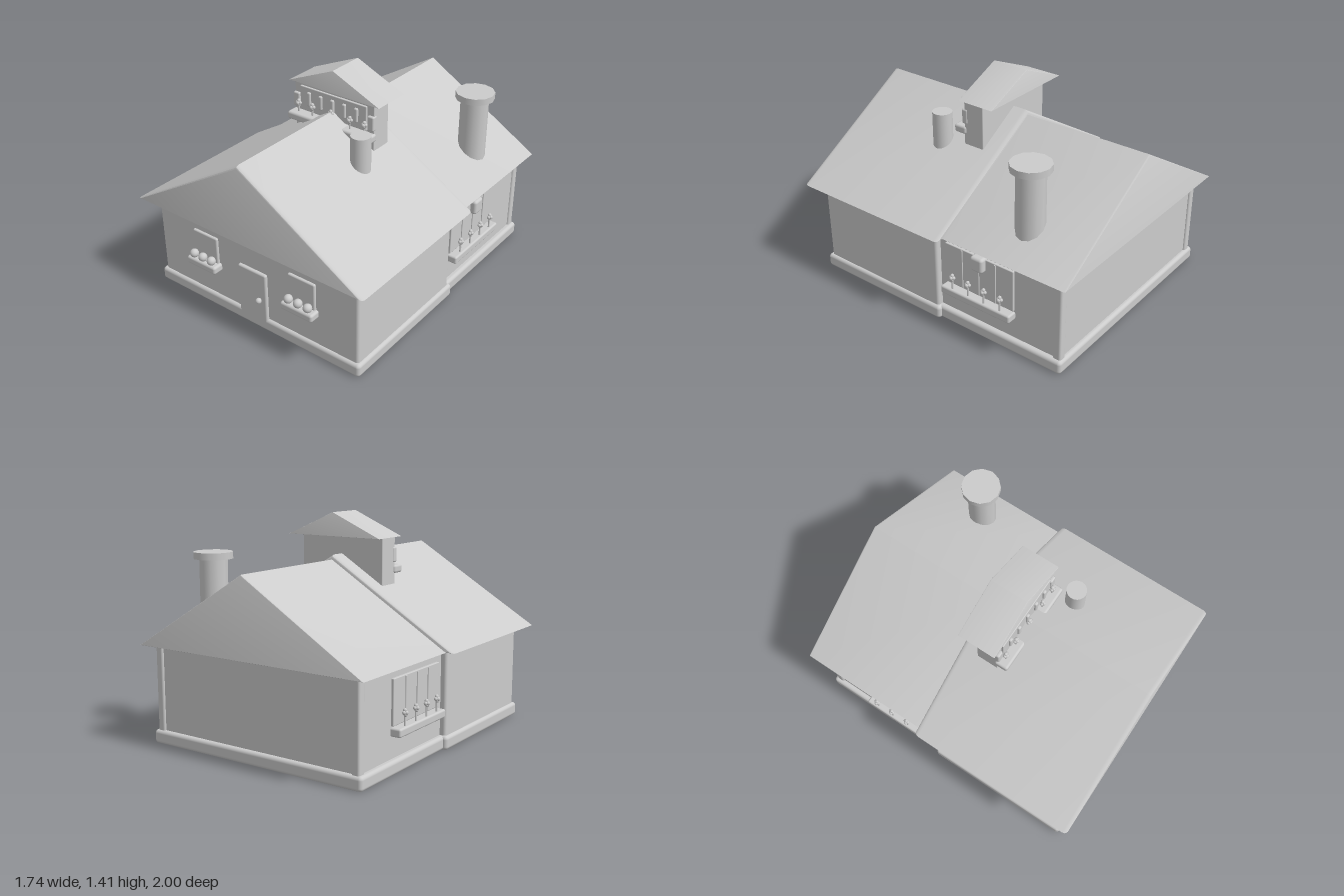
import * as THREE from 'three';
import { RoundedBoxGeometry } from 'three/addons/geometries/RoundedBoxGeometry.js';
import { toCreasedNormals } from 'three/addons/utils/BufferGeometryUtils.js';

const material = new THREE.MeshStandardMaterial({ color: 0xcccccc });

function add(parent, name, geometry, x = 0, y = 0, z = 0) {
  const mesh = new THREE.Mesh(geometry, material);
  mesh.name = name;
  mesh.position.set(x, y, z);
  parent.add(mesh);
  return mesh;
}

// Rounded box given by its extents
function box(parent, name, [x0, x1], [y0, y1], [z0, z1], r = 0.01) {
  const w = x1 - x0, h = y1 - y0, d = z1 - z0;
  const radius = Math.min(r, w * 0.45, h * 0.45, d * 0.45);
  return add(parent, name, new RoundedBoxGeometry(w, h, d, 3, radius), (x0 + x1) / 2, (y0 + y1) / 2, (z0 + z1) / 2);
}

// Solid gable roof running along z, with softened edges
function gableRoof(parent, name, halfWidth, y0, y1, z0, z1, bevel) {
  const shape = new THREE.Shape();
  shape.moveTo(-halfWidth, y0);
  shape.lineTo(halfWidth, y0);
  shape.lineTo(0, y1);
  shape.closePath();
  const geometry = new THREE.ExtrudeGeometry(shape, {
    depth: z1 - z0 - 2 * bevel, bevelEnabled: true, bevelSegments: 3,
    bevelThickness: bevel, bevelSize: bevel * 0.6, bevelOffset: -bevel * 0.6,
  });
  return add(parent, name, toCreasedNormals(geometry, 0.5), 0, 0, z0 + bevel);
}

// Stem with a small cluster of blossoms, standing on its origin
function flower(parent, x, y, z, height) {
  const group = new THREE.Group();
  group.name = 'flower';
  group.position.set(x, y, z);
  add(group, 'stem', new THREE.CylinderGeometry(0.006, 0.006, height, 8), 0, height / 2, 0);
  const bud = new THREE.SphereGeometry(0.012, 10, 8);
  for (const [dx, dy, dz] of [[-0.01, 0, 0], [0.01, 0, 0], [0, 0.014, 0], [0, 0, 0.01], [0, -0.012, 0.003]]) {
    add(group, 'blossom', bud, dx, height + dy, dz);
  }
  parent.add(group);
}

// Wide window facing +z, centred on x = 0, wall plane at z = 0
function sideWindow(name) {
  const group = new THREE.Group();
  group.name = name;
  box(group, 'windowPane', [-0.255, 0.255], [0.28, 0.555], [-0.02, 0.016], 0.005);
  for (const x of [-0.125, 0, 0.125]) {
    box(group, 'windowBar', [x - 0.006, x + 0.006], [0.285, 0.55], [0, 0.022], 0.003);
  }
  box(group, 'planter', [-0.26, 0.26], [0.22, 0.272], [-0.01, 0.065], 0.012);
  for (const x of [-0.18, -0.06, 0.06, 0.18]) flower(group, x, 0.265, 0.045, 0.085);
  return group;
}

// Front window with planter and round shrubs
function frontWindow(parent, x) {
  const group = new THREE.Group();
  group.name = 'frontWindow';
  group.position.x = x;
  box(group, 'windowPane', [-0.1, 0.1], [0.31, 0.51], [0.89, 0.926], 0.01);
  box(group, 'planter', [-0.118, 0.118], [0.28, 0.332], [0.9, 0.98], 0.015);
  for (const dx of [-0.072, 0, 0.072]) {
    add(group, 'shrub', new THREE.SphereGeometry(0.028, 20, 14), dx, 0.357, 0.955);
  }
  parent.add(group);
}

export function createModel() {
  const house = new THREE.Group();
  house.name = 'house';

  // Front wing
  box(house, 'frontFoundation', [-0.8, 0.8], [0, 0.087], [-0.06, 0.93], 0.022);
  box(house, 'frontWalls', [-0.78, 0.78], [0.04, 0.66], [-0.04, 0.91], 0.018);
  gableRoof(house, 'frontRoof', 0.87, 0.622, 1.15, -0.13, 1, 0.028);

  // Back wing with corner posts
  box(house, 'backFoundation', [-0.775, 0.775], [0, 0.087], [-0.95, 0], 0.022);
  box(house, 'backWalls', [-0.74, 0.74], [0.04, 0.65], [-0.922, 0], 0.005);
  gableRoof(house, 'backRoof', 0.82, 0.625, 1.12, -1, -0.05, 0.01);
  for (const s of [-1, 1]) {
    const x = [s * 0.697, s * 0.752].sort((a, b) => a - b);
    box(house, 'cornerPost', x, [0.06, 0.64], [-0.935, -0.88], 0.014);
  }

  // Door and knob
  box(house, 'door', [-0.11, 0.11], [0.04, 0.41], [0.88, 0.93], 0.012);
  add(house, 'doorKnob', new THREE.SphereGeometry(0.019, 20, 14), 0.062, 0.22, 0.945);

  // Windows
  for (const s of [-1, 1]) {
    frontWindow(house, s * 0.38);
    const win = sideWindow(s > 0 ? 'leftWindow' : 'rightWindow');
    win.position.set(s * 0.74, 0, -0.345);
    win.rotation.y = s * Math.PI / 2;
    house.add(win);
  }
  box(house, 'wallBox', [0.72, 0.795], [0.47, 0.567], [-0.4, -0.31], 0.018);

  // Dormer
  const dormer = new THREE.Group();
  dormer.name = 'dormer';
  house.add(dormer);
  box(dormer, 'dormerWalls', [-0.305, 0.305], [0.9, 1.275], [-0.02, 0.125], 0.005);
  gableRoof(dormer, 'dormerRoof', 0.345, 1.265, 1.415, -0.12, 0.135, 0.004);
  box(dormer, 'dormerPane', [-0.255, 0.255], [1.09, 1.252], [0.1, 0.138], 0.005);
  for (let i = -2; i <= 2; i++) {
    const x = i * 0.091;
    box(dormer, 'windowBar', [x - 0.014, x + 0.014], [1.13, 1.225], [0.12, 0.152], 0.01);
  }
  box(dormer, 'planter', [-0.315, 0.315], [1.03, 1.082], [0.11, 0.2], 0.015);
  for (const s of [-1, 1]) {
    const x = [s * 0.262, s * 0.31].sort((a, b) => a - b);
    box(dormer, 'shutter', x, [1.1, 1.197], [0.1, 0.142], 0.01);
  }
  for (const x of [-0.255, -0.145, 0, 0.145, 0.255]) flower(dormer, x, 1.075, 0.155, 0.065);

  // Chimney with cap, and the smaller flue
  add(house, 'chimney', new THREE.CylinderGeometry(0.09, 0.09, 0.48, 12), 0.578, 0.91, -0.587);
  add(house, 'chimneyCap', new THREE.CylinderGeometry(0.125, 0.125, 0.043, 12), 0.578, 1.155, -0.587);
  add(house, 'flue', new THREE.CylinderGeometry(0.063, 0.063, 0.26, 20), 0.325, 1.016, 0.285);

  return house;
}
